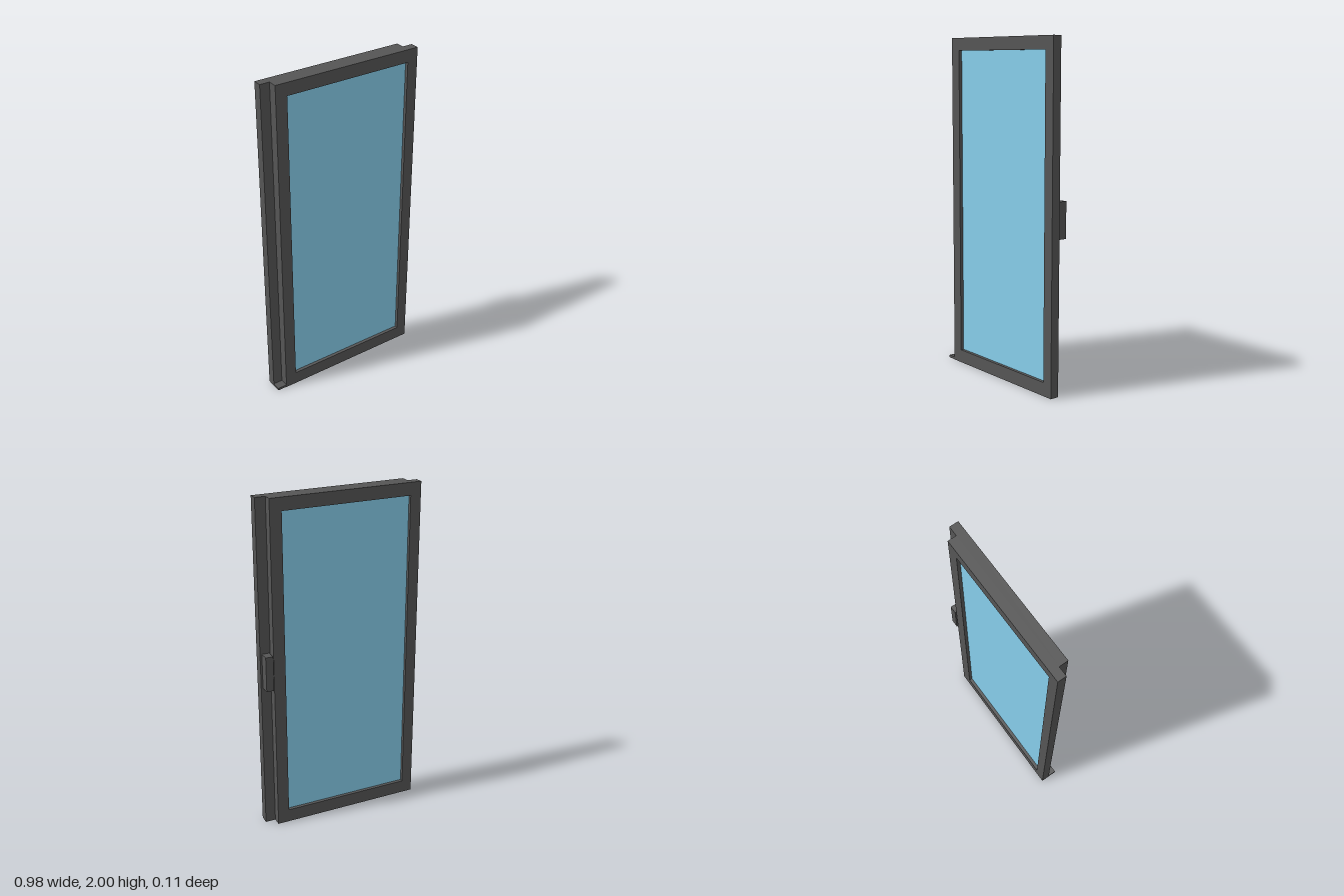
import * as THREE from 'three';

const dark = new THREE.MeshStandardMaterial({ color: 0x555555 });
const blue = new THREE.MeshStandardMaterial({ color: 0x87ceeb });

// Box given by its minimum and maximum corners
function box(name, min, max, material) {
  const size = max.map((v, i) => v - min[i]);
  const mesh = new THREE.Mesh(new THREE.BoxGeometry(...size), material);
  mesh.position.set(...max.map((v, i) => (v + min[i]) / 2));
  mesh.name = name;
  return mesh;
}

// Rectangular frame with a window opening, extruded along z
function frame(name, [x0, x1], [hx0, hx1], z0, z1) {
  const shape = new THREE.Shape([
    new THREE.Vector2(x0, 0), new THREE.Vector2(x1, 0),
    new THREE.Vector2(x1, 2), new THREE.Vector2(x0, 2),
  ]);
  shape.holes.push(new THREE.Path([
    new THREE.Vector2(hx0, 0.08), new THREE.Vector2(hx0, 1.925),
    new THREE.Vector2(hx1, 1.925), new THREE.Vector2(hx1, 0.08),
  ]));
  const geometry = new THREE.ExtrudeGeometry(shape, { depth: z1 - z0, bevelEnabled: false });
  geometry.translate(0, 0, z0);
  const mesh = new THREE.Mesh(geometry, dark);
  mesh.name = name;
  return mesh;
}

export function createModel() {
  const door = new THREE.Group();
  door.name = 'glassDoor';

  // Two frame halves, offset sideways so their edges form a rebate
  door.add(frame('frontFrame', [-0.43, 0.488], [-0.36, 0.423], 0, 0.054));
  door.add(frame('backFrame', [-0.488, 0.427], [-0.423, 0.357], -0.052, 0));

  // A recessed pane in each half
  door.add(box('frontGlass', [-0.36, 0.08, 0.005], [0.423, 1.925, 0.034], blue));
  door.add(box('backGlass', [-0.423, 0.08, -0.032], [0.357, 1.925, -0.005], blue));

  // Foot plate in the rebate on one side, handle on the other
  door.add(box('footPlate', [-0.488, 0, 0], [-0.43, 0.015, 0.052], dark));
  door.add(box('handle', [0.432, 0.895, -0.058], [0.477, 1.105, 0], dark));

  return door;
}
